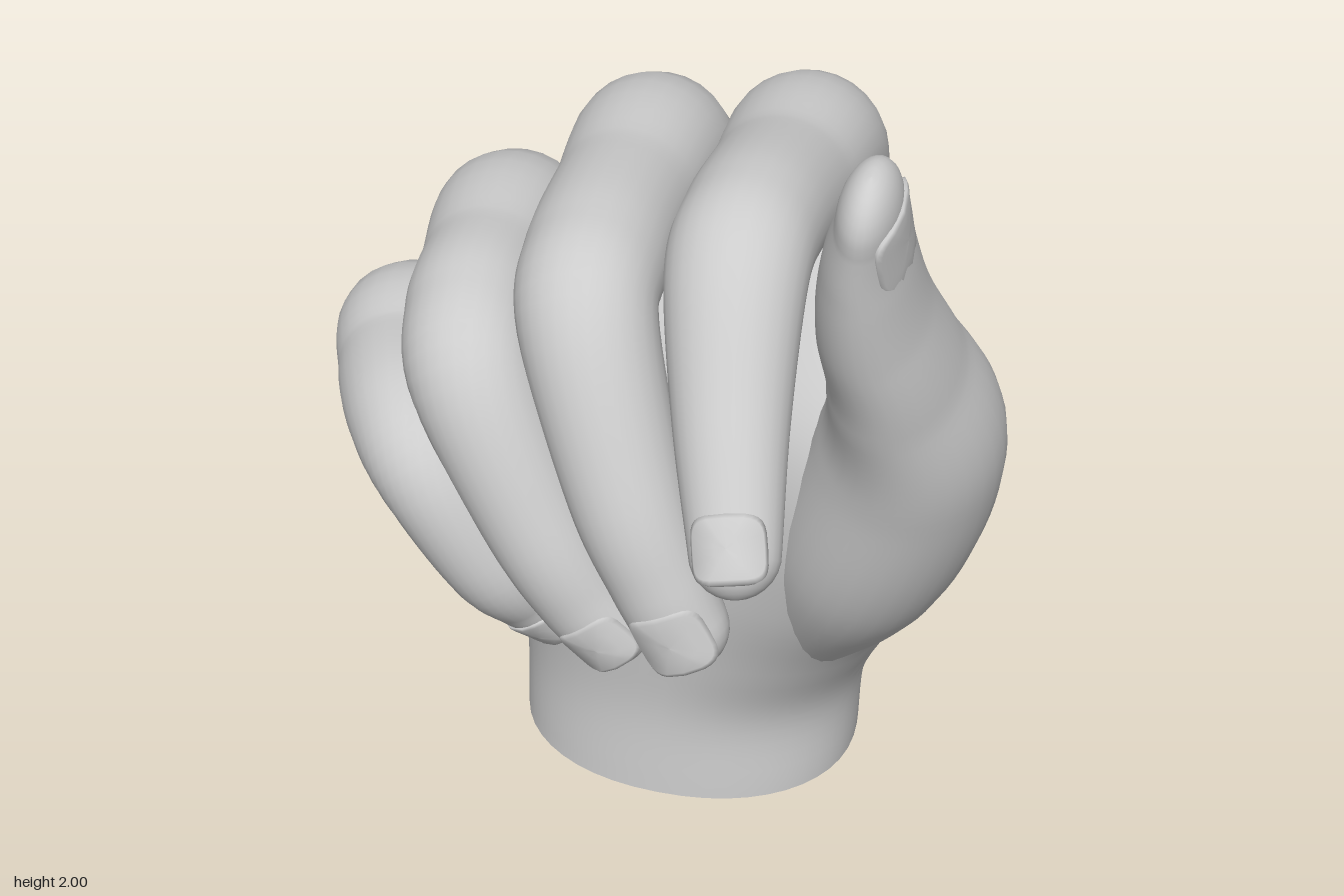
import * as THREE from 'three';

const SEG = 28;
const V = (x, y, z) => new THREE.Vector3(x, y, z);

// Catmull-Rom interpolation of rows of numbers, t from 0 to 1
function sample(keys, t) {
  const n = keys.length - 1;
  const i = Math.min(Math.floor(t * n), n - 1), f = t * n - i;
  const b = keys[i], c = keys[i + 1];
  const a = keys[i - 1] || b.map((v, k) => 2 * v - c[k]);
  const d = keys[i + 2] || c.map((v, k) => 2 * v - b[k]);
  return b.map((v, k) => v + 0.5 * f * (c[k] - a[k]
    + f * (2 * a[k] - 5 * v + 4 * c[k] - d[k] + f * (3 * (v - c[k]) + d[k] - a[k]))));
}

// Skin closed rings of points into one smooth surface
function loft(rings) {
  const n = rings[0].length, index = [];
  for (let i = 0; i < rings.length - 1; i++) {
    for (let j = 0; j < n; j++) {
      const a = i * n + j, b = i * n + (j + 1) % n;
      index.push(a, b, b + n, a, b + n, a + n);
    }
  }
  const g = new THREE.BufferGeometry().setFromPoints(rings.flat());
  g.setIndex(index);
  g.computeVertexNormals();
  return g;
}

// Centre, local axes and radii of a digit at t
function frameAt(keys, t, sideHint) {
  const [x, y, z, a, b] = sample(keys, t);
  const p = sample(keys, Math.max(0, t - 0.01)), q = sample(keys, Math.min(1, t + 0.01));
  const dir = V(q[0] - p[0], q[1] - p[1], q[2] - p[2]).normalize();
  const side = sideHint.clone().addScaledVector(dir, -sideHint.dot(dir)).normalize();
  return { c: V(x, y, z), dir, side, up: dir.clone().cross(side), a, b };
}

function ring(f, shift, scale) {
  return Array.from({ length: SEG }, (_, j) => {
    const u = j / SEG * Math.PI * 2;
    return f.c.clone().addScaledVector(f.dir, shift)
      .addScaledVector(f.side, f.a * scale * Math.cos(u))
      .addScaledVector(f.up, f.b * scale * Math.sin(u));
  });
}

// Swept finger with rounded ends
function digitGeometry(keys, sideHint) {
  const rings = [], DOME = 7, STEPS = 56;
  const dome = (f, k, sign) => {
    const u = k / DOME * Math.PI / 2;
    rings.push(ring(f, sign * f.a * Math.sin(u), Math.max(Math.cos(u), 0.002)));
  };
  const start = frameAt(keys, 0, sideHint), end = frameAt(keys, 1, sideHint);
  for (let k = DOME; k > 0; k--) dome(start, k, -1);
  for (let i = 0; i <= STEPS; i++) rings.push(ring(frameAt(keys, i / STEPS, sideHint), 0, 1));
  for (let k = 1; k <= DOME; k++) dome(end, k, 1);
  return loft(rings);
}

// Curved nail plate with rounded corners, wrapped over the fingertip
function nailGeometry(keys, sideHint, halfLength, at) {
  const f = frameAt(keys, at, sideHint), rings = [];
  const soft = v => Math.sign(v) * Math.sqrt(Math.abs(v));
  for (const [r, lift] of [[1, -0.012], [0.97, 0.003], [0.85, 0.006], [0.5, 0.006], [0.25, 0.006], [0.001, 0.006]]) {
    rings.push(Array.from({ length: SEG }, (_, j) => {
      const w = j / SEG * Math.PI * 2;
      const u = -r * soft(Math.cos(w)) * 0.95, v = -r * soft(Math.sin(w)) * halfLength;
      return f.c.clone().addScaledVector(f.dir, v)
        .addScaledVector(f.side, -(f.a + lift) * Math.sin(u))
        .addScaledVector(f.up, (f.b + lift) * Math.cos(u) - v * 0.15);
    }));
  }
  return loft(rings);
}

// Palm and wrist: y, xMin, xMax, zBack, zFront, rise per x, swelling below the thumb, bow
const PALM = [
  [0, -0.43, 0.36, -0.72, -0.115, 0, 0, 0],
  [0.22, -0.43, 0.375, -0.72, -0.12, 0, 0, 0],
  [0.42, -0.45, 0.455, -0.72, -0.095, 0, 0.14, 0.05],
  [0.65, -0.51, 0.58, -0.71, -0.06, 0, 0.28, 0.18],
  [0.88, -0.565, 0.655, -0.69, -0.05, 0.03, 0.36, 0.32],
  [1.08, -0.61, 0.63, -0.67, -0.07, 0.12, 0.3, 0.4],
  [1.24, -0.59, 0.47, -0.66, -0.13, 0.28, 0.1, 0.4],
  [1.37, -0.53, 0.36, -0.645, -0.21, 0.44, 0, 0.35],
  [1.48, -0.44, 0.3, -0.61, -0.28, 0.5, 0, 0.25],
  [1.56, -0.25, 0.17, -0.55, -0.36, 0.5, 0, 0],
  [1.58, -0.05, -0.04, -0.46, -0.45, 0.5, 0, 0],
];

function palmGeometry() {
  const rings = [], STEPS = 60, n = 48;
  for (let i = 0; i <= STEPS; i++) {
    const [y, x0, x1, z0, z1, rise, swell, bow] = sample(PALM, i / STEPS);
    const cx = (x0 + x1) / 2, rx = (x1 - x0) / 2, cz = (z0 + z1) / 2, rz = (z1 - z0) / 2;
    rings.push(Array.from({ length: n }, (_, j) => {
      const u = j / n * Math.PI * 2, c = Math.cos(u), s = Math.sin(u);
      const dx = rx * Math.sign(c) * Math.abs(c) ** 0.93;
      const z = cz - rz * Math.sign(s) * Math.abs(s) ** 0.93
        + swell * Math.max(0, dx) * Math.max(0, -s) + bow * dx * dx;
      // the wrist cut climbs slightly towards the back
      const cut = 0.07 * (-0.115 - z) * Math.max(0, 1 - y / 0.4);
      return V(cx + dx, y + rise * (cx + dx) + cut, z);
    }));
  }
  return loft(rings);
}

// Digits from inside the hand, over the knuckle, to the tip: x, y, z, half width, half thickness
const X = V(1, 0, 0);
const DIGITS = {
  index: { side: X, nail: 0.068, nailAt: 1, keys: [
    [0.16, 1.1, -0.47, 0.15, 0.15], [0.2, 1.555, -0.455, 0.17, 0.165],
    [0.215, 1.665, -0.14, 0.15, 0.142],
    [0.225, 1.72, 0.12, 0.143, 0.142], [0.235, 1.69, 0.27, 0.14, 0.135],
    [0.28, 1.5, 0.46, 0.115, 0.11], [0.335, 1.31, 0.625, 0.09, 0.085]] },
  middle: { side: X, nail: 0.075, nailAt: 1, keys: [
    [-0.09, 1.05, -0.48, 0.15, 0.15], [-0.13, 1.505, -0.455, 0.17, 0.165],
    [-0.11, 1.585, -0.12, 0.15, 0.145],
    [-0.085, 1.605, 0.15, 0.147, 0.145], [-0.055, 1.55, 0.3, 0.14, 0.14],
    [0.06, 1.27, 0.43, 0.12, 0.12], [0.14, 1.1, 0.47, 0.105, 0.1],
    [0.19, 0.995, 0.48, 0.097, 0.085]] },
  ring: { side: X, nail: 0.065, nailAt: 1, keys: [
    [-0.32, 0.95, -0.38, 0.13, 0.13], [-0.4, 1.365, -0.31, 0.165, 0.155],
    [-0.365, 1.435, 0, 0.145, 0.14],
    [-0.34, 1.44, 0.17, 0.14, 0.14], [-0.29, 1.37, 0.3, 0.135, 0.135],
    [-0.14, 1.1, 0.375, 0.112, 0.11], [-0.05, 0.95, 0.385, 0.098, 0.09],
    [0.005, 0.88, 0.38, 0.09, 0.08]] },
  little: { side: X, nail: 0.055, nailAt: 1, keys: [
    [-0.43, 0.84, -0.26, 0.09, 0.09], [-0.57, 1.175, -0.13, 0.155, 0.145],
    [-0.535, 1.215, 0.08, 0.135, 0.13],
    [-0.46, 1.22, 0.25, 0.125, 0.125], [-0.38, 1.16, 0.34, 0.115, 0.115],
    [-0.26, 0.97, 0.345, 0.1, 0.1], [-0.2, 0.87, 0.3, 0.088, 0.085],
    [-0.16, 0.815, 0.27, 0.08, 0.075]] },
  thumb: { side: V(0, 0, 1), nail: 0.085, nailAt: 0.94, keys: [
    [0.28, 0.47, -0.27, 0.13, 0.11], [0.43, 0.82, -0.14, 0.23, 0.2],
    [0.535, 1.17, -0.03, 0.225, 0.197], [0.52, 1.42, 0.09, 0.187, 0.14],
    [0.49, 1.6, 0.175, 0.162, 0.115], [0.485, 1.76, 0.235, 0.14, 0.09],
    [0.495, 1.89, 0.285, 0.112, 0.062]] },
};

export function createModel() {
  const hand = new THREE.Group();
  hand.name = 'hand';
  const skin = new THREE.MeshStandardMaterial({ color: 0xcccccc });
  const openSkin = new THREE.MeshStandardMaterial({ color: 0xcccccc, side: THREE.DoubleSide });
  const add = (name, geometry, material) => {
    const mesh = new THREE.Mesh(geometry, material);
    mesh.name = name;
    hand.add(mesh);
  };

  add('palmAndWrist', palmGeometry(), openSkin);
  for (const [name, { side, nail, nailAt, keys }] of Object.entries(DIGITS)) {
    add(name === 'thumb' ? 'thumb' : name + 'Finger', digitGeometry(keys, side), skin);
    add(name + 'Nail', nailGeometry(keys, side, nail, nailAt), openSkin);
  }
  return hand;
}
